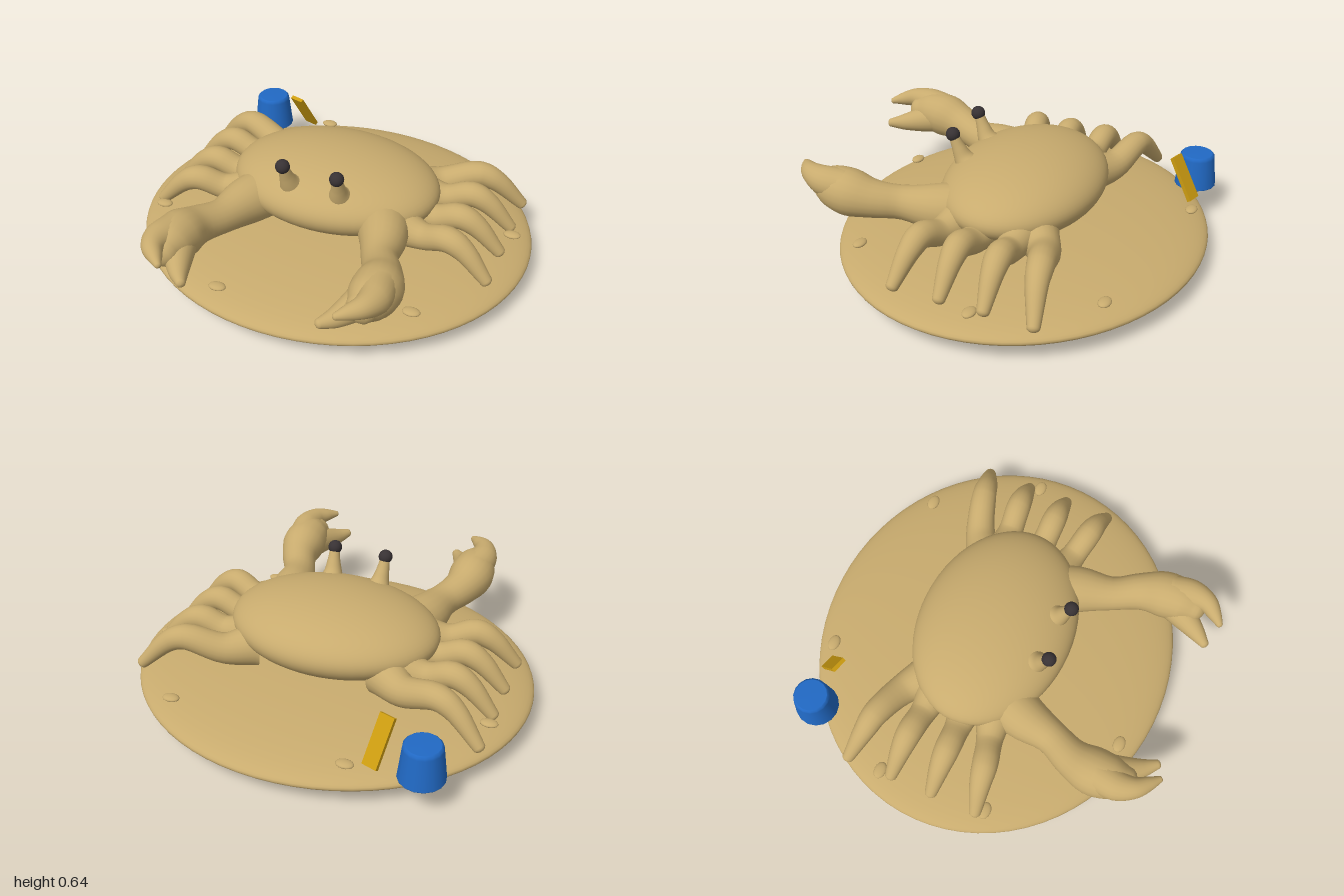
import * as THREE from 'three';

const sand = new THREE.MeshStandardMaterial({ color: 0xc8ab6e });
sand.name = 'sand';
const eyeDark = new THREE.MeshStandardMaterial({ color: 0x383234 });
eyeDark.name = 'eyeDark';
const blue = new THREE.MeshStandardMaterial({ color: 0x2169c4 });
blue.name = 'bucketBlue';
const yellow = new THREE.MeshStandardMaterial({ color: 0xcc9c10 });
yellow.name = 'spadeYellow';

// Smooth limb with varying thickness; each point is [x, y, z, radius]
function limb(points, mirror = 1, ref = new THREE.Vector3(0, 1, 0)) {
  const path = new THREE.CatmullRomCurve3(points.map(p => new THREE.Vector3(p[0] * mirror, p[1], p[2])));
  const radii = new THREE.CatmullRomCurve3(points.map((p, i) => new THREE.Vector3(p[3], i, 0)));
  const steps = 24, sides = 20, capSteps = 4;
  const pos = [], index = [];
  const ring = (t, push, scale) => {
    const tangent = path.getTangent(t);
    const r = radii.getPoint(t).x;
    const n = new THREE.Vector3().crossVectors(ref, tangent).normalize();
    const b = new THREE.Vector3().crossVectors(tangent, n);
    const c = path.getPoint(t).addScaledVector(tangent, push * r);
    for (let j = 0; j < sides; j++) {
      const a = j / sides * Math.PI * 2;
      const v = c.clone().addScaledVector(n, Math.cos(a) * r * scale).addScaledVector(b, Math.sin(a) * r * scale);
      pos.push(v.x, v.y, v.z);
    }
  };
  for (let i = 0; i <= steps; i++) ring(i / steps, 0, 1);
  // rounded tip
  for (let i = 1; i <= capSteps; i++) {
    const a = i / capSteps * Math.PI / 2;
    ring(1, Math.sin(a) * 0.7, Math.max(Math.cos(a), 0.01));
  }
  for (let i = 0; i < steps + capSteps; i++) {
    for (let j = 0; j < sides; j++) {
      const k = (j + 1) % sides;
      const a = i * sides + j, b = i * sides + k, c = a + sides, d = b + sides;
      index.push(a, b, d, a, d, c);
    }
  }
  const geo = new THREE.BufferGeometry();
  geo.setAttribute('position', new THREE.Float32BufferAttribute(pos, 3));
  geo.setIndex(index);
  geo.computeVertexNormals();
  return geo;
}

export function createModel() {
  const model = new THREE.Group();
  model.name = 'sandCrab';
  const add = (name, geo, mat, parent = model) => {
    const mesh = new THREE.Mesh(geo, mat);
    mesh.name = name;
    parent.add(mesh);
    return mesh;
  };
  const ellipsoid = (name, c, r, mat, w = 48, h = 32) => {
    const mesh = add(name, new THREE.SphereGeometry(1, w, h), mat);
    mesh.position.set(...c);
    mesh.scale.set(...r);
    return mesh;
  };

  // Sand mound and shell
  ellipsoid('sandMound', [0, 0.112, -0.055], [1, 0.11, 0.905], sand, 72, 40);
  ellipsoid('shell', [0, 0.37, -0.055], [0.53, 0.18, 0.387], sand, 56, 36);

  // Pebbles around the rim
  const pebbles = [[-0.36, -0.81], [0.575, -0.685], [-0.86, -0.3], [0.885, -0.185],
    [-0.835, 0.25], [0.61, 0.54], [-0.27, 0.725]];
  for (const [x, z] of pebbles) ellipsoid('pebble', [x, 0.187, z], [0.043, 0.014, 0.03], sand, 16, 10);

  // Three side legs: root z, knee z, tip z
  const sideLegs = [[0.11, 0.175, 0.21], [-0.03, -0.02, -0.025], [-0.2, -0.22, -0.24]];

  for (const s of [1, -1]) {
    const side = s > 0 ? 'left' : 'right';

    const legs = new THREE.Group();
    legs.name = side + 'Legs';
    model.add(legs);
    for (const [z0, z1, z2] of sideLegs) {
      add('leg', limb([
        [0.4, 0.31, z0, 0.1], [0.53, 0.305, (z0 + z1) / 2, 0.066], [0.655, 0.347, z1, 0.063],
        [0.735, 0.315, (z1 * 2 + z2) / 3, 0.054], [0.862, 0.19, z2, 0.03],
      ], s), sand, legs);
    }
    add('rearLeg', limb([
      [0.34, 0.29, -0.26, 0.11], [0.46, 0.29, -0.35, 0.077], [0.64, 0.347, -0.41, 0.064],
      [0.725, 0.315, -0.43, 0.054], [0.862, 0.18, -0.475, 0.03],
    ], s), sand, legs);

    // Arm, palm and the two pincers
    const claw = new THREE.Group();
    claw.name = side + 'Claw';
    model.add(claw);
    add('arm', limb([
      [0.28, 0.32, 0.06, 0.13], [0.36, 0.325, 0.24, 0.118], [0.405, 0.335, 0.41, 0.085],
      [0.465, 0.355, 0.54, 0.094], [0.488, 0.375, 0.65, 0.116], [0.485, 0.388, 0.75, 0.104],
      [0.475, 0.39, 0.82, 0.07],
    ], s), sand, claw);
    add('upperPincer', limb([
      [0.5, 0.41, 0.68, 0.085], [0.518, 0.428, 0.78, 0.074], [0.5, 0.443, 0.86, 0.052],
      [0.455, 0.443, 0.915, 0.034], [0.415, 0.44, 0.955, 0.016],
    ], s), sand, claw);
    add('lowerPincer', limb([
      [0.465, 0.365, 0.7, 0.085], [0.42, 0.35, 0.79, 0.066], [0.375, 0.342, 0.865, 0.045],
      [0.33, 0.345, 0.925, 0.023],
    ], s), sand, claw);

    // Eye on its stalk
    add(side + 'EyeStalk', limb([
      [0.125, 0.42, 0.17, 0.085], [0.128, 0.485, 0.222, 0.05], [0.133, 0.54, 0.247, 0.034],
      [0.137, 0.6, 0.27, 0.024],
    ], s, new THREE.Vector3(0, 0, 1)), sand);
    ellipsoid(side + 'Eye', [0.137 * s, 0.608, 0.275], [0.035, 0.035, 0.035], eyeDark, 20, 14);
  }

  // Upturned bucket with a softened top edge
  const profile = [[0.0001, 0.17], [0.108, 0.17], [0.108, 0.172], [0.09, 0.325], [0.088, 0.337],
    [0.08, 0.345], [0.078, 0.346], [0.0001, 0.347]].map(p => new THREE.Vector2(...p));
  add('bucket', new THREE.LatheGeometry(profile, 16), blue).position.set(-0.685, 0, -0.74);

  // Spade blade leaning out of the sand
  const spade = add('spade', new THREE.BoxGeometry(0.077, 0.24, 0.02), yellow);
  spade.position.set(-0.485, 0.29, -0.73);
  spade.rotation.set(0.54, -0.3, 0, 'YXZ');

  return model;
}
